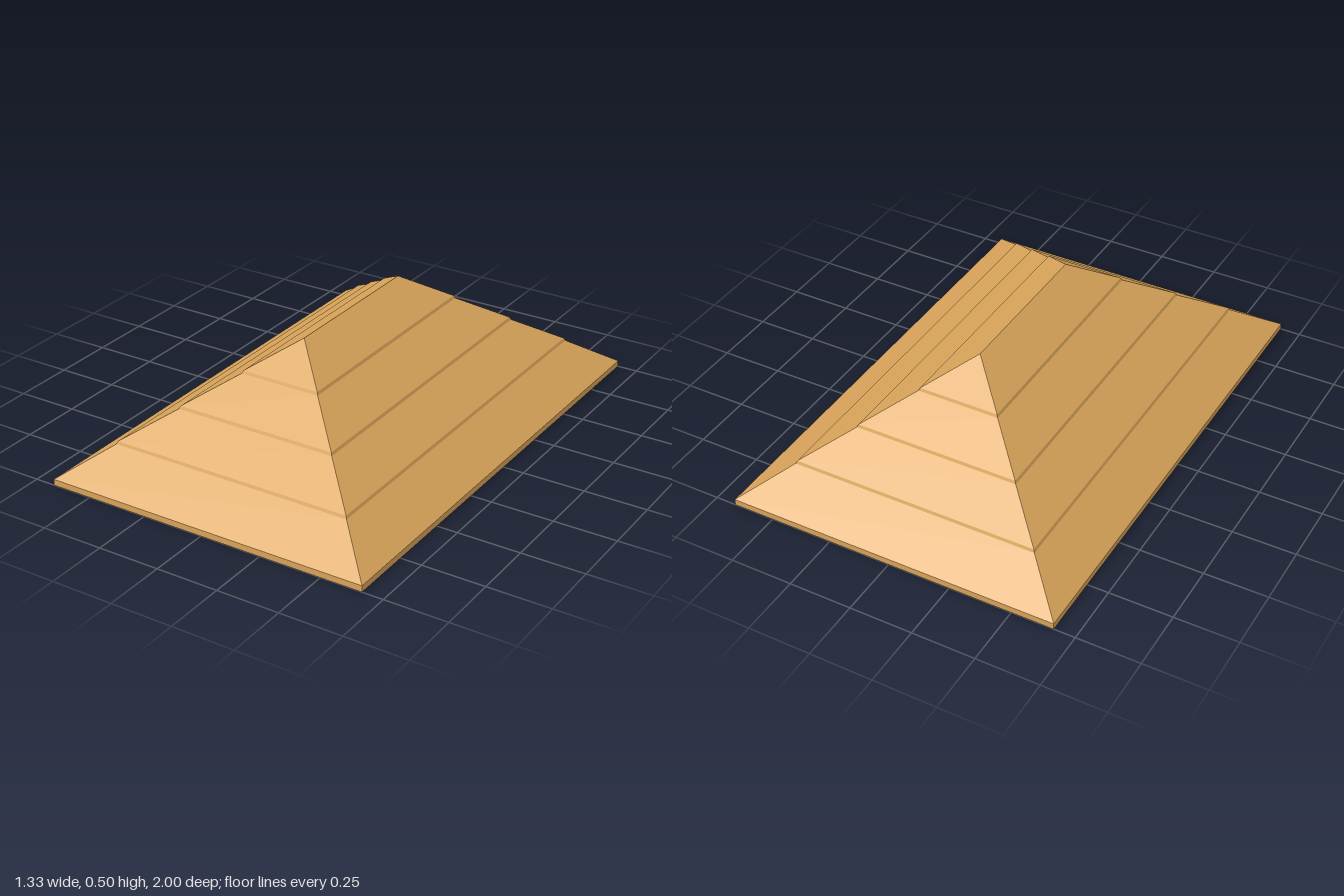
import * as THREE from 'three';

const HALF_RIDGE = 1 / 3, HALF_W = 2 / 3, EAVE = 0.025, TOP = 0.5, COURSES = 4;

// Rectangular ring: inset a from the ridge line, at height y
const ring = (a, y) => [
  [a, y, a + HALF_RIDGE], [a, y, -a - HALF_RIDGE],
  [-a, y, -a - HALF_RIDGE], [-a, y, a + HALF_RIDGE],
];

// Four flat sides between a lower and an upper ring
function band(lower, upper) {
  const pos = [];
  for (let i = 0; i < 4; i++) {
    const j = (i + 1) % 4;
    pos.push(...lower[i], ...lower[j], ...upper[j], ...lower[i], ...upper[j], ...upper[i]);
  }
  const g = new THREE.BufferGeometry();
  g.setAttribute('position', new THREE.Float32BufferAttribute(pos, 3));
  g.computeVertexNormals();
  return g;
}

export function createModel() {
  const roof = new THREE.Group();
  roof.name = 'hipRoof';
  const thatch = new THREE.MeshStandardMaterial({ color: 0xd9a45a });
  thatch.name = 'golden thatch';
  const wood = new THREE.MeshStandardMaterial({ color: 0x8b5e3c });
  wood.name = 'brown wood';

  const add = (name, geometry, material) => {
    const mesh = new THREE.Mesh(geometry, material);
    mesh.name = name;
    roof.add(mesh);
    return mesh;
  };

  // Eave edge and underside
  add('eaveEdge', band(ring(HALF_W, 0), ring(HALF_W, EAVE)), thatch);
  const under = add('underside', new THREE.PlaneGeometry(2 * HALF_W, 2), wood);
  under.rotation.x = Math.PI / 2;

  // Sloping courses, each starting with a small raised lip
  const pitchY = (a) => TOP - (TOP - EAVE) * a / HALF_W;
  for (let i = 0; i < COURSES; i++) {
    const a0 = HALF_W * (1 - i / COURSES), a1 = HALF_W * (1 - (i + 1) / COURSES);
    let start = ring(a0, pitchY(a0));
    if (i > 0) {
      const lip = ring(a0 - 0.005, pitchY(a0) + 0.011);
      add('courseLip' + i, band(start, lip), thatch);
      start = lip;
    }
    add('course' + (i + 1), band(start, ring(a1, pitchY(a1))), thatch);
  }
  return roof;
}
